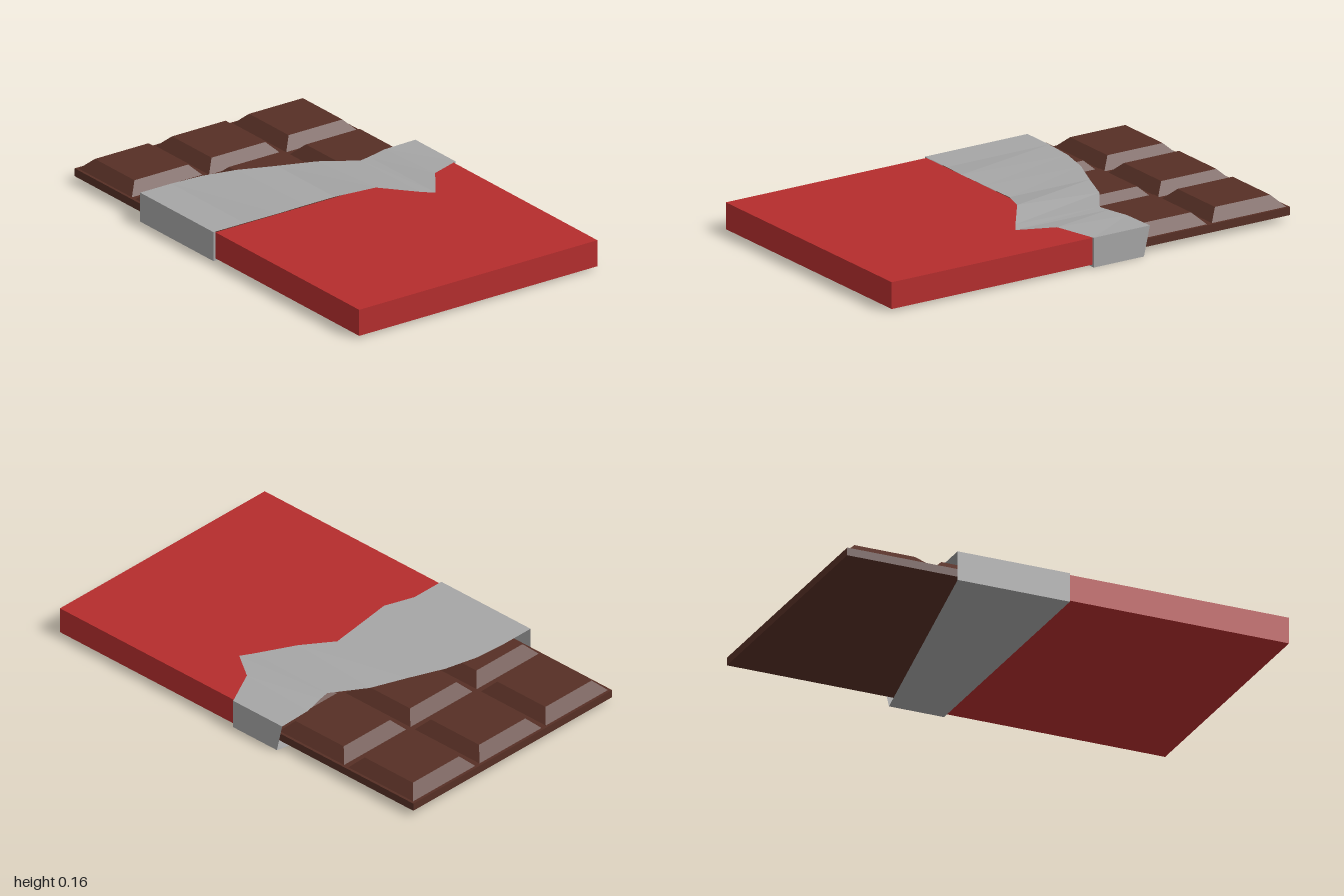
import * as THREE from 'three';

const red = new THREE.MeshStandardMaterial({ color: 0xb42d2d });
red.name = 'red paper';
const silver = new THREE.MeshStandardMaterial({ color: 0xa5a5a5, side: THREE.DoubleSide });
silver.name = 'silver foil';
const brown = new THREE.MeshStandardMaterial({ color: 0x562f25 });
brown.name = 'chocolate brown';

function box(name, material, [x0, x1], [y0, y1], [z0, z1]) {
  const mesh = new THREE.Mesh(new THREE.BoxGeometry(x1 - x0, y1 - y0, z1 - z0), material);
  mesh.position.set((x0 + x1) / 2, (y0 + y1) / 2, (z0 + z1) / 2);
  mesh.name = name;
  return mesh;
}

// Foil sleeve: each column is [x, back y, back z, front y, front z], going once round the bar
function foilGeometry() {
  const columns = [
    [-0.62, 0.13, -0.51, 0.13, 0],
    [-0.46, 0.13, -0.51, 0.13, 0],
    [-0.31, 0.13, -0.5, 0.145, 0.03],
    [-0.16, 0.13, -0.465, 0.138, 0.015],
    [0, 0.13, -0.4, 0.13, 0],
    [0.16, 0.13, -0.34, 0.155, 0.07],
    [0.31, 0.13, -0.24, 0.135, 0.18],
    [0.36, 0.13, -0.25, 0.131, 0.215],
    [0.46, 0.13, -0.275, 0.145, 0.075],
    [0.62, 0.13, -0.28, 0.13, 0],
    [0.62, 0, -0.25, 0, 0],
    [-0.62, 0, -0.51, 0, 0],
  ];
  const points = [];
  columns.forEach(([x, by, bz, fy, fz], i) => {
    const [nx, nby, nbz, nfy, nfz] = columns[(i + 1) % columns.length];
    points.push(x, by, bz, x, fy, fz, nx, nfy, nfz);
    points.push(x, by, bz, nx, nfy, nfz, nx, nby, nbz);
  });
  const geometry = new THREE.BufferGeometry();
  geometry.setAttribute('position', new THREE.Float32BufferAttribute(points, 3));
  geometry.computeVertexNormals();
  return geometry;
}

// One bevelled square: a four-sided frustum
function squareGeometry(bottom, top, height) {
  const geometry = new THREE.CylinderGeometry(top * Math.SQRT2, bottom * Math.SQRT2, height, 4)
    .rotateY(Math.PI / 4).toNonIndexed();
  geometry.computeVertexNormals();
  return geometry;
}

export function createModel() {
  const model = new THREE.Group();
  model.name = 'chocolateBar';

  // Paper wrapper
  model.add(box('paperWrapper', red, [-0.61, 0.61], [0.01, 0.127], [0, 1]));

  // Torn foil with a narrow lip round the paper
  const foil = new THREE.Group();
  foil.name = 'foil';
  const sleeve = new THREE.Mesh(foilGeometry(), silver);
  sleeve.name = 'foilSleeve';
  foil.add(sleeve);
  foil.add(box('foilLipBottom', silver, [-0.62, 0.62], [0, 0.01], [-0.004, 0]));
  for (const side of [-1, 1]) {
    const x = side * 0.615;
    foil.add(box('foilLipSide', silver, [x - 0.005, x + 0.005], [0.01, 0.13], [-0.004, 0]));
  }
  model.add(foil);

  // Chocolate slab with rows of squares, running on inside the wrapper
  const chocolate = new THREE.Group();
  chocolate.name = 'chocolate';
  const pitch = 0.395;
  const centre = -0.003;
  chocolate.add(box('slab', brown, [centre - 0.592, centre + 0.592], [0.027, 0.062], [-1, 0.975]));
  const square = squareGeometry(0.185, 0.1375, 0.048);
  for (let row = 0; row < 5; row++) {
    for (let column = -1; column <= 1; column++) {
      const mesh = new THREE.Mesh(square, brown);
      mesh.name = 'square';
      mesh.position.set(centre + column * pitch, 0.086, -1 + pitch * (row + 0.5));
      chocolate.add(mesh);
    }
  }
  model.add(chocolate);
  return model;
}
